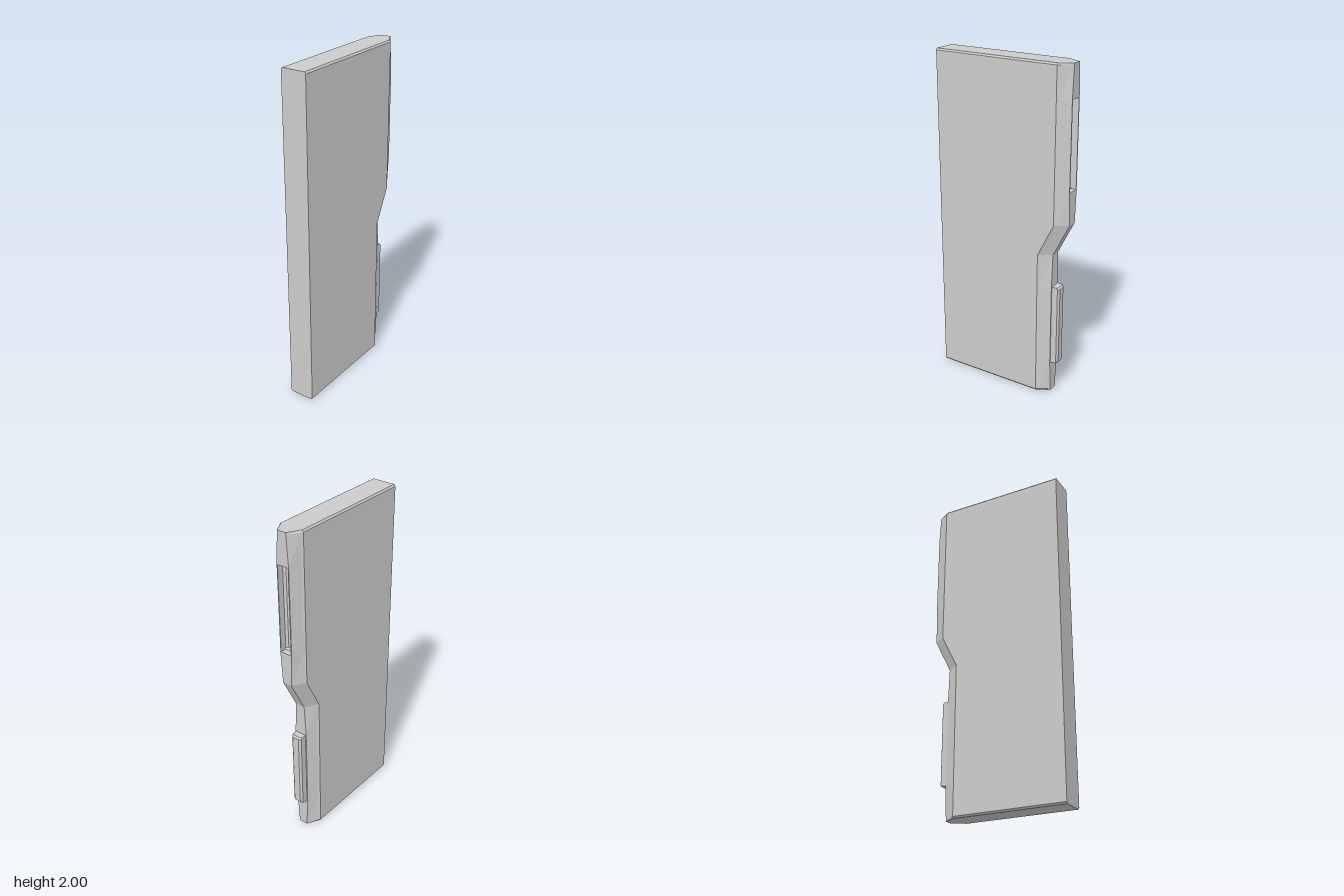
import * as THREE from 'three';

const LEFT = -0.425;

// Horizontal outline at one height, counter-clockwise seen from above.
// step: x of the face edge, thick: half thickness, tip: half width of the narrow edge,
// key: how far the tongue stands out (+) or the groove sinks in (-).
function outline({ y, step, thick, tip, key }) {
  const tipX = step + 0.074;
  const lip = tip * 0.85;
  const half = [
    [LEFT, thick],
    [step, thick],
    [step + 0.01, thick - 0.008],
    [tipX, tip],
    [tipX, lip],
    [tipX + key * 0.8, lip],
    [tipX + key, tip * 0.5],
  ];
  const back = half.map(([x, z]) => [x, -z]).reverse();
  return [...half, ...back].map(([x, z]) => new THREE.Vector3(x, y, z));
}

// Flat-shaded skin through a stack of outlines, closed at both ends
function loft(rings) {
  const pos = [];
  const tri = (...pts) => pts.forEach((p) => pos.push(p.x, p.y, p.z));
  const n = rings[0].length;
  for (let i = 0; i < rings.length - 1; i++) {
    for (let j = 0; j < n; j++) {
      const k = (j + 1) % n;
      const lo = rings[i], hi = rings[i + 1];
      tri(lo[j], lo[k], hi[k]);
      tri(lo[j], hi[k], hi[j]);
    }
  }
  const bottom = rings[0], top = rings[rings.length - 1];
  for (let j = 1; j < n - 1; j++) {
    tri(bottom[0], bottom[j + 1], bottom[j]);
    tri(top[0], top[j], top[j + 1]);
  }
  const geo = new THREE.BufferGeometry();
  geo.setAttribute('position', new THREE.Float32BufferAttribute(pos, 3));
  geo.computeVertexNormals();
  return geo;
}

export function createModel() {
  const group = new THREE.Group();
  group.name = 'interlockingPanel';

  const low = 0.25, high = 0.35, full = 0.078, bevel = 0.07;
  const levels = [
    // bottom bevel
    [0, low, bevel, 0.028, 0],
    [0.01, low, full, 0.029, 0],
    // tongue on the lower edge
    [0.19, low, full, 0.039, 0],
    [0.2, low, full, 0.04, 0],
    [0.2, low, full, 0.04, 0.036],
    [0.21, low, full, 0.04, 0.046],
    [0.69, low, full, 0.04, 0.046],
    [0.7, low, full, 0.04, 0.036],
    [0.7, low, full, 0.04, 0],
    // slanted step
    [0.9, low, full, 0.03, 0],
    [1.1, high, full, 0.03, 0],
    // groove in the upper edge
    [1.295, high, full, 0.04, 0],
    [1.295, high, full, 0.04, -0.036],
    [1.305, high, full, 0.04, -0.046],
    [1.8, high, full, 0.04, -0.046],
    [1.81, high, full, 0.04, -0.036],
    [1.81, high, full, 0.04, 0],
    // top bevel
    [1.99, high, full, 0.029, 0],
    [2, high, bevel, 0.028, 0],
  ].map(([y, step, thick, tip, key]) => outline({ y, step, thick, tip, key }));

  const panel = new THREE.Mesh(
    loft(levels),
    new THREE.MeshStandardMaterial({ color: 0xcccccc, flatShading: true })
  );
  panel.name = 'panel';
  group.add(panel);
  return group;
}
